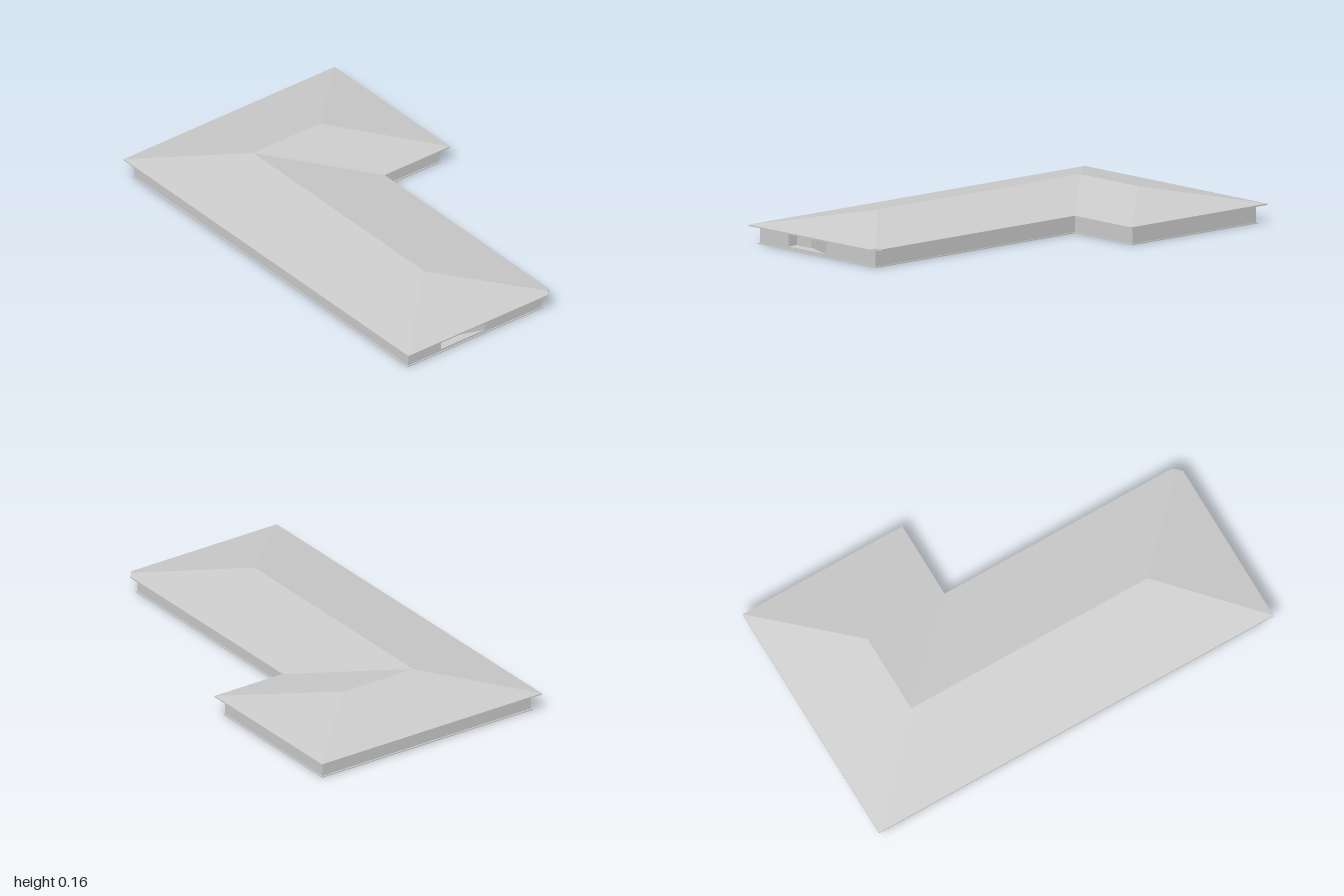
import * as THREE from 'three';

const mat = new THREE.MeshStandardMaterial({ color: 0xcccccc, flatShading: true, side: THREE.DoubleSide });

// Mesh from convex polygons, each fanned into triangles
function polyMesh(name, polygons) {
  const pos = [];
  for (const p of polygons)
    for (let i = 1; i < p.length - 1; i++) pos.push(...p[0], ...p[i], ...p[i + 1]);
  const g = new THREE.BufferGeometry();
  g.setAttribute('position', new THREE.Float32BufferAttribute(pos, 3));
  g.computeVertexNormals();
  const m = new THREE.Mesh(g, mat);
  m.name = name;
  return m;
}

// Band of quads between two plan paths [x, z] at two heights
function band(name, low, y0, high, y1, closed = true) {
  const quads = [];
  const n = low.length;
  for (let i = 0; i < (closed ? n : n - 1); i++) {
    const j = (i + 1) % n;
    quads.push([
      [low[i][0], y0, low[i][1]], [low[j][0], y0, low[j][1]],
      [high[j][0], y1, high[j][1]], [high[i][0], y1, high[i][1]],
    ]);
  }
  return polyMesh(name, quads);
}

export function createModel() {
  const group = new THREE.Group();
  const eaveLow = 0.081, eave = 0.087, ridge = 0.16;

  // L-shaped plans, anticlockwise from above, with one clipped eave corner
  const eaves = [[-1, 0.59], [1, 0.59], [1, -0.19], [0.96, -0.225], [-0.19, -0.225], [-0.19, -0.59], [-1, -0.59]];
  const walls = [[-0.96, 0.56], [0.96, 0.56], [0.96, -0.187], [0.96, -0.187], [-0.225, -0.187], [-0.225, -0.56], [-0.96, -0.56]];
  const base = [[-0.967, 0.565], [0.965, 0.565], [0.965, -0.192], [0.965, -0.192], [-0.22, -0.192], [-0.22, -0.565], [-0.967, -0.565]];

  // Hipped roof with a valley at the inner corner
  const [fl, fr, r, b, v, wr, wl] = eaves.map(([x, z]) => [x, eave, z]);
  const ridgeR = [0.6, ridge, 0.185], ridgeL = [-0.6, ridge, 0.185], ridgeB = [-0.6, ridge, -0.19];
  const hip = [0.98, 0.091, -0.2075];
  group.add(polyMesh('roof', [
    [fl, fr, ridgeR, ridgeL],
    [fr, r, hip, ridgeR],
    [r, b, hip],
    [b, v, ridgeL, ridgeR, hip],
    [v, wr, ridgeB, ridgeL],
    [wr, wl, ridgeB],
    [wl, fl, ridgeL, ridgeB],
  ]));
  group.add(band('fascia', eaves, eaveLow, eaves, eave));
  group.add(band('soffit', walls, eaveLow + 0.001, eaves, eaveLow));

  // Walls, leaving out the stretch with the entrance
  const z0 = 0.375, z1 = 0.13, yb = 0.015, yt = 0.075, x = 0.96;
  const round = [[x, z1], ...walls.slice(2), walls[0], walls[1], [x, z0]];
  const gap = [[x, z0], [x, z1]];
  group.add(band('walls', round, 0, round, eaveLow, false));
  group.add(band('entranceSill', gap, 0, gap, yb, false));
  group.add(band('entranceLintel', gap, yt, gap, eaveLow, false));

  // Shallow entrance recess tapering back to the wall
  const recess = [[x, z0], [0.91, z0], [0.91, 0.27], [x, z1]];
  group.add(band('recessWall', recess, yb, recess, yt, false));
  for (const [name, y] of [['recessFloor', yb], ['recessCeiling', yt]])
    group.add(polyMesh(name, [recess.map(([px, pz]) => [px, y, pz])]));

  // Narrow door beside the recess window
  const door = new THREE.Mesh(new THREE.BoxGeometry(0.008, 0.048, 0.03), mat);
  door.name = 'door';
  door.position.set(0.92, 0.044, 0.255);
  door.rotation.y = -0.34;
  group.add(door);

  // Projecting plinth along the foot of the walls
  group.add(band('plinthFace', base, 0, base, 0.005));
  group.add(band('plinthTop', base, 0.005, walls, 0.005));

  return group;
}
